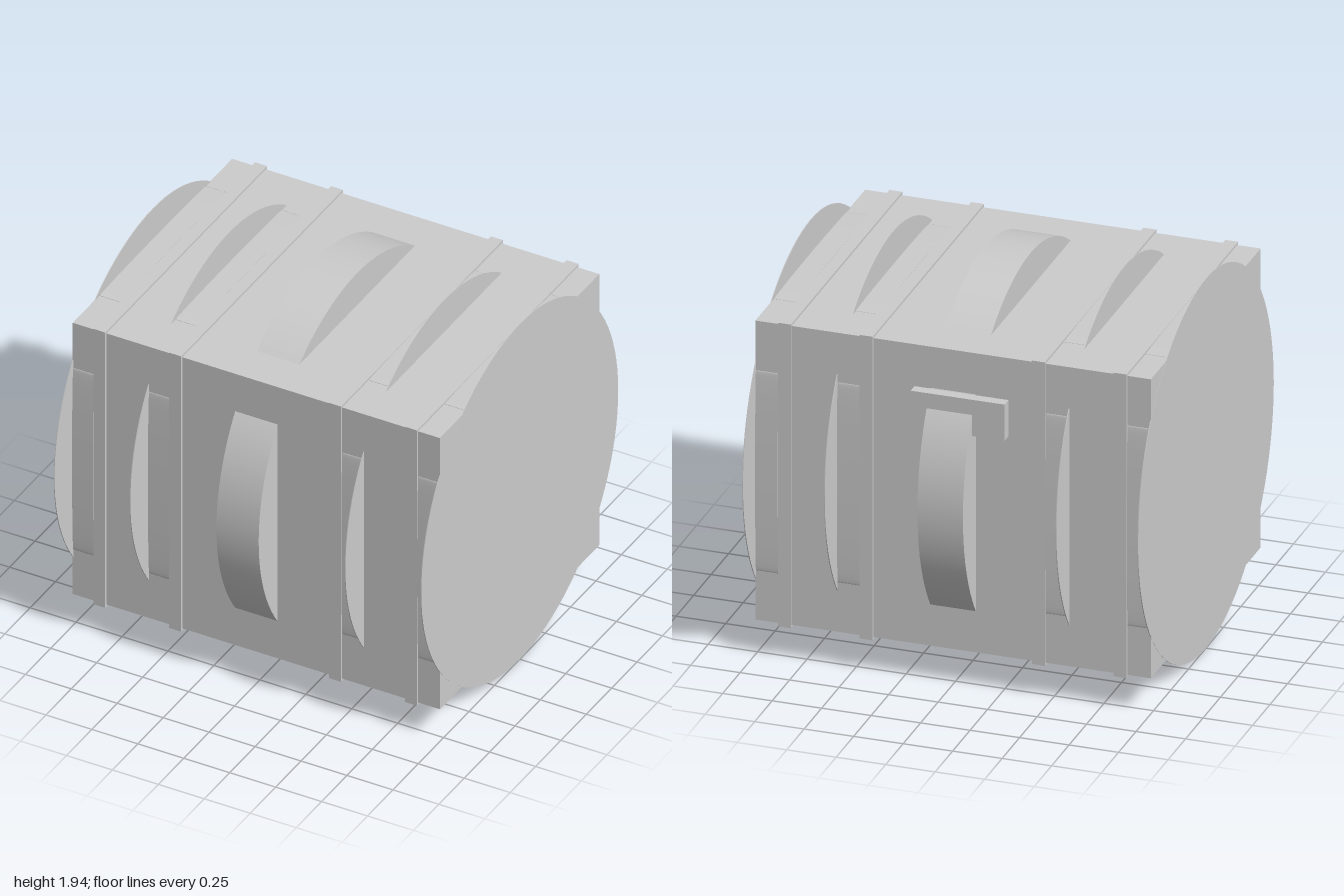
import * as THREE from 'three';

const MID_Y = 0.975;  // height of the central axis
const BODY = 0.785;   // half size of the square body
const RADIUS = 0.97;

export function createModel() {
  const model = new THREE.Group();
  const grey = new THREE.MeshStandardMaterial({ color: 0xcccccc });
  grey.name = 'plain grey';

  const add = (name, geometry, x, y, z) => {
    const mesh = new THREE.Mesh(geometry, grey);
    mesh.name = name;
    mesh.position.set(x, y, z);
    model.add(mesh);
    return mesh;
  };
  const disc = (width) => new THREE.CylinderGeometry(RADIUS, RADIUS, width, 96).rotateZ(Math.PI / 2);

  // square body and the round drum showing through its four sides
  add('body', new THREE.BoxGeometry(1.998, BODY * 2, BODY * 2), 0, MID_Y, 0);
  add('centreDrum', disc(0.23), 0, MID_Y, 0);

  // shallow bowed pad: a flattened elliptic cylinder sunk in a side face
  const padGeometry = new THREE.CylinderGeometry(1, 1, 0.115, 64).rotateZ(Math.PI / 2).scale(1, 0.525, 0.012);

  for (const side of [-1, 1]) {
    // raised square bands around the body
    for (const x of [0.435, 0.848]) {
      add('squareBand', new THREE.BoxGeometry(0.065, 1.594, 1.594), side * x, MID_Y, 0);
    }
    // thin round fins, each with a pad on every side face
    for (const x of [0.585, 0.998]) {
      add('roundFin', disc(0.004), side * x, MID_Y, 0);
      for (let i = 0; i < 4; i++) {
        const a = (i * Math.PI) / 2;
        const pad = add('bowedPad', padGeometry, side * (x - 0.0585),
          MID_Y - Math.sin(a) * BODY, Math.cos(a) * BODY);
        pad.rotation.x = a;
      }
    }
  }

  // mounting plate on the back
  add('backPlate', new THREE.BoxGeometry(0.475, 0.19, 0.07), -0.0425, 1.445, -0.805);

  return model;
}
